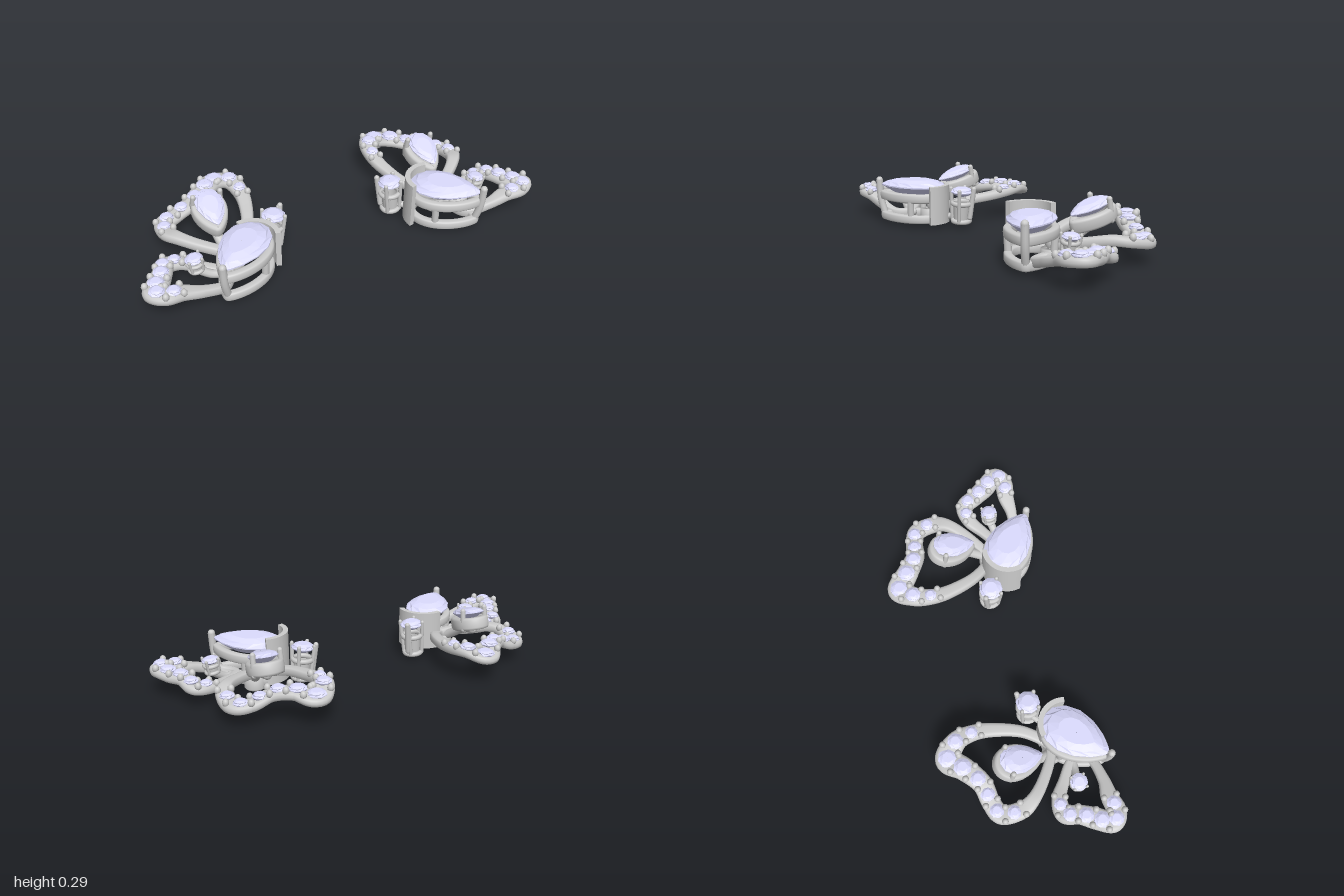
import * as THREE from 'three';

const metal = new THREE.MeshStandardMaterial({ color: 0xcccccc, side: THREE.DoubleSide });
const crystal = new THREE.MeshStandardMaterial({ color: 0xdcdcff, flatShading: true });
const V = (x, y, z) => new THREE.Vector3(x, y, z);

function add(parent, name, geometry, material = metal) {
  const mesh = new THREE.Mesh(geometry, material);
  mesh.name = name;
  parent.add(mesh);
  return mesh;
}

function group(parent, name, x, y, z) {
  const g = new THREE.Group();
  g.name = name;
  g.position.set(x, y, z);
  parent.add(g);
  return g;
}

// Skin over rows of points; each row is a closed loop
function skin(rows, closed) {
  const n = rows[0].length, index = [];
  const last = closed ? rows.length : rows.length - 1;
  for (let i = 0; i < last; i++) for (let j = 0; j < n; j++) {
    const a = i * n, b = ((i + 1) % rows.length) * n, k = (j + 1) % n;
    index.push(a + j, a + k, b + k, a + j, b + k, b + j);
  }
  const geo = new THREE.BufferGeometry().setFromPoints(rows.flat());
  geo.setIndex(index);
  geo.computeVertexNormals();
  return geo;
}

// Closed loop in space with a half width at each control point [x, y, z, w]
function makeLoop(pts) {
  const path = new THREE.CatmullRomCurve3(pts.map(p => V(p[0], p[1], p[2])), true, 'catmullrom', 0.5);
  const width = new THREE.CatmullRomCurve3(pts.map(p => V(p[3], 0, 0)), true, 'catmullrom', 0.5);
  return (t) => {
    const T = path.getTangent(t);
    return { p: path.getPoint(t), w: width.getPoint(t).x, side: V(T.z, 0, -T.x).normalize() };
  };
}

// Band with a rounded rectangular section swept round a loop
function band(loop, halfHeight, steps) {
  const soft = v => Math.sign(v) * Math.pow(Math.abs(v), 0.6);
  const rows = [];
  for (let i = 0; i < steps; i++) {
    const { p, w, side } = loop(i / steps), row = [];
    for (let j = 0; j < 14; j++) {
      const a = j / 14 * Math.PI * 2;
      row.push(p.clone().addScaledVector(side, w * soft(Math.cos(a))).add(V(0, halfHeight * soft(Math.sin(a)), 0)));
    }
    rows.push(row);
  }
  return skin(rows, true);
}

// Outlines: pear with its tip on +x, or circle
const pear = (L, W) => t => [L * Math.cos(t), -W * 1.1 * Math.sin(t) * Math.pow(Math.abs(Math.sin(t / 2)), 0.6)];
const circle = r => t => [r * Math.cos(t), -r * Math.sin(t)];

// Faceted stone: culet, pavilion, girdle, crown, table
function stone(outline, n, up, down) {
  const levels = [[0.01, -down], [0.6, -down * 0.65], [1, -up * 0.12], [1, up * 0.08], [0.82, up * 0.6], [0.52, up], [0.01, up]];
  return skin(levels.map(([s, y], i) => Array.from({ length: n }, (_, j) => {
    const [x, z] = outline((j + (i === 4 ? 0.5 : 0)) / n * Math.PI * 2);
    return V(x * s, y, z * s);
  })), false);
}

// Ring that follows a stone outline
function bezel(outline, scale, y, w, h) {
  const pts = Array.from({ length: 24 }, (_, i) => {
    const [x, z] = outline(i / 24 * Math.PI * 2);
    return [x * scale, y, z * scale, w];
  });
  return band(makeLoop(pts), h, 72);
}

// Round-ended wire through a few points
function wire(parent, name, r, ...pts) {
  const curve = new THREE.CatmullRomCurve3(pts.map(p => V(...p)));
  add(parent, name, new THREE.TubeGeometry(curve, 12, r, 10));
  for (const p of [pts[0], pts[pts.length - 1]])
    add(parent, name + 'End', new THREE.SphereGeometry(r, 10, 8)).position.set(...p);
}

// Pronged cup with a round stone at its origin
function roundSetting(parent, name, x, y, z, r, h) {
  const g = group(parent, name, x, y, z);
  add(g, 'roundStone', stone(circle(r), 10, r * 0.35, r * 0.5), crystal);
  for (const [s, ry] of [[0.8, -0.4 * h], [0.72, -h]])
    add(g, 'cupRing', new THREE.TorusGeometry(r * s, r * 0.22, 8, 28).rotateX(Math.PI / 2)).position.y = ry;
  add(g, 'cupWall', new THREE.CylinderGeometry(r * 0.75, r * 0.65, h * 0.7, 24, 1, true)).position.y = -0.65 * h;
  for (let i = 0; i < 4; i++) {
    const a = (i + 0.5) * Math.PI / 2, c = Math.cos(a), s = Math.sin(a);
    wire(g, 'cupProng', r * 0.17, [c * r * 0.8, -h, s * r * 0.8], [c * r, 0.2 * r, s * r]);
  }
  return g;
}

// Wing frame set with small stones between pairs of beads
function wing(parent, name, pts, first, last, spacing) {
  const g = group(parent, name, 0, 0, 0), loop = makeLoop(pts);
  add(g, 'wingFrame', band(loop, 0.023, 140));
  let prev = null, travelled = 0, nextStone = spacing / 2, nextBeads = 0;
  for (let i = 0; i <= 600; i++) {
    const { p, w, side } = loop((first + (last - first) * i / 600) / pts.length);
    if (prev) travelled += p.distanceTo(prev);
    prev = p;
    if (travelled >= nextStone) {
      nextStone += spacing;
      add(g, 'paveStone', stone(circle(w * 0.78), 8, 0.016, 0.03), crystal).position.copy(p).add(V(0, 0.024, 0));
    }
    if (travelled >= nextBeads) {
      nextBeads += spacing;
      for (const s of [-0.72, 0.72])
        add(g, 'bead', new THREE.SphereGeometry(0.016, 10, 8).scale(1, 1.2, 1)).position
          .copy(p).addScaledVector(side, s * w).add(V(0, 0.026, 0));
    }
  }
}

function earring(name, wallTop) {
  const e = new THREE.Group();
  e.name = name;

  wing(e, 'upperWing', [
    [0.50, 0.08, 0.14, 0.025], [0.42, 0.11, 0.04, 0.028], [0.375, 0.13, -0.10, 0.034], [0.368, 0.145, -0.20, 0.04],
    [0.39, 0.155, -0.28, 0.05], [0.455, 0.13, -0.335, 0.063], [0.525, 0.15, -0.275, 0.055], [0.61, 0.135, -0.215, 0.048],
    [0.70, 0.10, -0.198, 0.045], [0.768, 0.092, -0.165, 0.046], [0.775, 0.11, -0.07, 0.042], [0.74, 0.12, 0.0, 0.032],
    [0.66, 0.105, 0.075, 0.027], [0.56, 0.085, 0.14, 0.025]], 2.5, 10.4, 0.088);

  wing(e, 'lowerWing', [
    [0.60, 0.05, 0.24, 0.022], [0.70, 0.06, 0.16, 0.028], [0.77, 0.075, 0.115, 0.037], [0.845, 0.085, 0.115, 0.045],
    [0.872, 0.11, 0.18, 0.046], [0.91, 0.112, 0.245, 0.052], [0.95, 0.125, 0.31, 0.048], [0.905, 0.12, 0.345, 0.048],
    [0.83, 0.105, 0.338, 0.042], [0.74, 0.08, 0.342, 0.028], [0.63, 0.05, 0.32, 0.022]], 1.9, 8.3, 0.075);

  // Large pear stone, its rings and prongs
  const big = group(e, 'largeSetting', 0.525, 0.205, 0.267), bigPear = pear(0.175, 0.12);
  big.rotation.y = -0.75;
  add(big, 'largePearStone', stone(bigPear, 14, 0.032, 0.06), crystal);
  add(big, 'upperBezel', bezel(bigPear, 0.92, -0.055, 0.02, 0.024));
  add(big, 'baseBezel', bezel(bigPear, 0.9, -0.163, 0.02, 0.022));
  wire(big, 'tipProng', 0.018, [0.155, -0.165, 0], [0.178, -0.08, 0], [0.185, 0.02, 0]);
  for (const s of [-1, 1])
    wire(big, 'sidePost', 0.017, [-0.02, -0.16, 0.098 * s], [-0.02, -0.06, 0.104 * s]);

  // Curved guard wall round the blunt end
  const arc = new THREE.Shape();
  const from = 1.35, to = 3.4;
  arc.absarc(0, 0, 0.13, from, to, false);
  arc.absarc(0, 0, 0.105, to, from, true);
  add(e, 'guardWall', new THREE.ExtrudeGeometry(arc, { depth: wallTop - 0.02, bevelEnabled: false, curveSegments: 24 })
    .rotateX(-Math.PI / 2)).position.set(0.465, 0.02, 0.235);

  // Small pear stone tilted over the upper wing
  const tilt = group(e, 'smallPearSetting', 0.57, 0.24, -0.015);
  tilt.rotation.x = 0.3;
  const small = group(tilt, 'smallPear', 0, 0, 0), smallPear = pear(0.108, 0.074);
  small.rotation.y = -Math.PI / 2;
  add(small, 'smallPearStone', stone(smallPear, 12, 0.02, 0.04), crystal);
  add(small, 'smallBezel', bezel(smallPear, 0.95, -0.055, 0.02, 0.032));
  for (const s of [-1, 1])
    wire(small, 'pearProng', 0.013, [-0.05, -0.08, 0.068 * s], [-0.065, 0.015, 0.066 * s]);
  wire(e, 'pearStem', 0.024, [0.54, 0.05, 0.16], [0.565, 0.1, 0.08], [0.575, 0.15, 0.0], [0.57, 0.165, -0.07]);

  // Round stones beside the body and inside the lower wing
  roundSetting(e, 'sideSetting', 0.308, 0.185, 0.10, 0.058, 0.155).rotation.z = 0.08;
  wire(e, 'sideLink', 0.016, [0.335, 0.06, 0.11], [0.40, 0.045, 0.16]);
  wire(e, 'sideProng', 0.013, [0.275, 0.05, 0.075], [0.258, 0.2, 0.06]);
  roundSetting(e, 'lowerSetting', 0.735, 0.165, 0.215, 0.042, 0.06).rotation.z = -0.12;
  wire(e, 'lowerStem', 0.02, [0.58, 0.05, 0.24], [0.66, 0.06, 0.23], [0.725, 0.1, 0.215]);

  // Hollow hub beneath the body
  const hub = [[0.024, 0], [0.046, 0], [0.052, 0.008], [0.052, 0.07], [0.024, 0.07], [0.024, 0]];
  add(e, 'hub', new THREE.LatheGeometry(hub.map(p => new THREE.Vector2(...p)), 28)).position.set(0.54, 0, 0.16);
  return e;
}

export function createModel() {
  const model = new THREE.Group();
  model.name = 'wingedEarrings';
  const right = earring('rightEarring', 0.215);
  right.scale.x = -1;
  model.add(earring('leftEarring', 0.255), right);
  return model;
}
